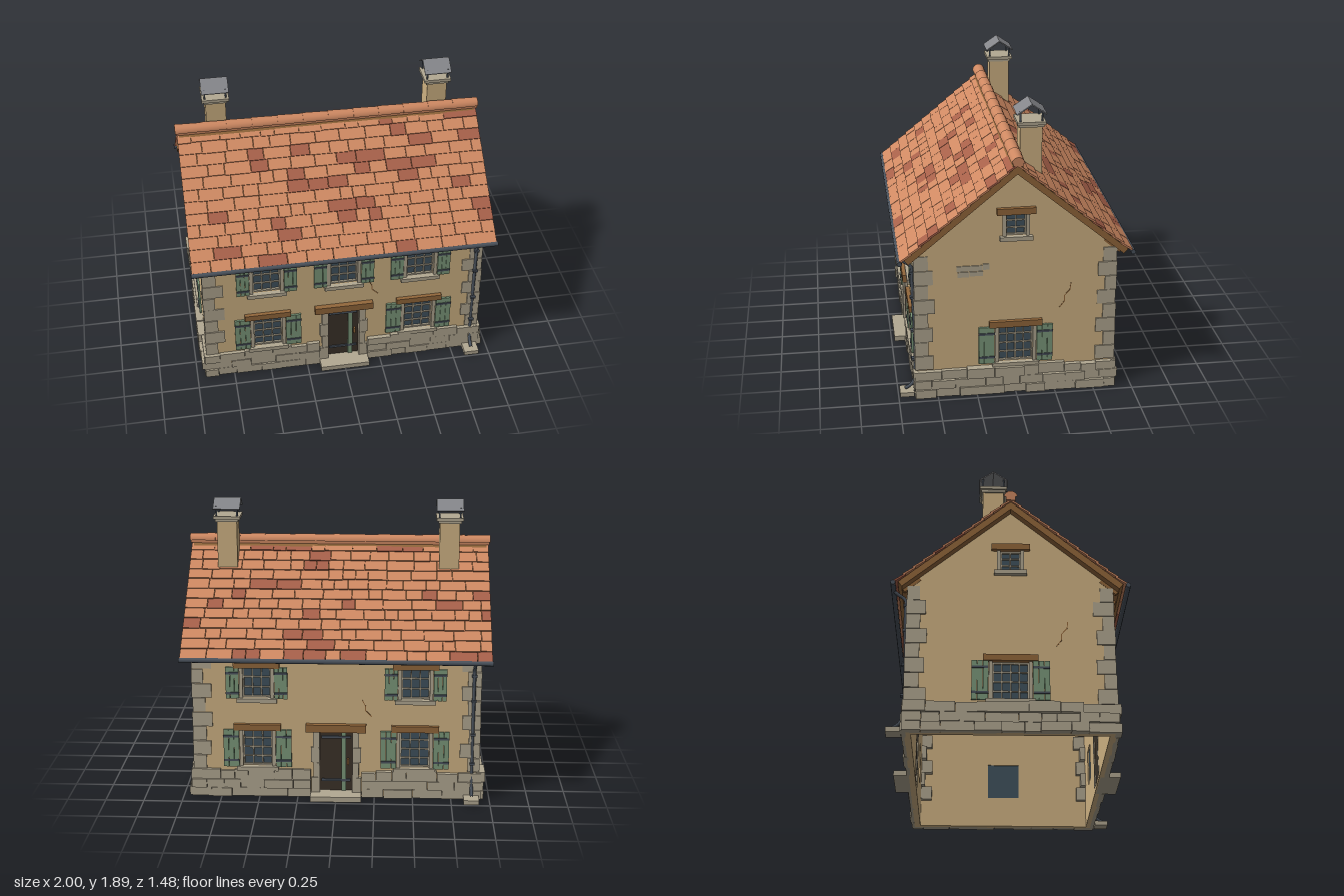
import * as THREE from 'three';
import { mergeGeometries } from 'three/addons/utils/BufferGeometryUtils.js';

const paint = (name, color) => {
  const m = new THREE.MeshStandardMaterial({ color });
  m.name = name;
  return m;
};

// Seeded random numbers for stones and tiles
let seed = 7;
const rand = (a = 0, b = 1) => {
  seed = (seed * 16807) % 2147483647;
  return a + (b - a) * (seed / 2147483647);
};

// Box from its centre, or from its lower and upper corners
const box = (w, h, d, x, y, z) => new THREE.BoxGeometry(w, h, d).translate(x, y, z);
const span = (x0, x1, y0, y1, z0, z1) =>
  box(x1 - x0, y1 - y0, z1 - z0, (x0 + x1) / 2, (y0 + y1) / 2, (z0 + z1) / 2);

const HX = 0.92, HZ = 0.63, RIDGE = 1.57, RUN = 0.72, DROP = 0.6;
const SLOPE = Math.atan2(DROP, RUN), LEN = Math.hypot(RUN, DROP);

export function createModel() {
  seed = 7;
  const plaster = paint('plaster', 0xd2b585), stone = paint('stone', 0xb3a993);
  const wood = paint('wood', 0x94683c), green = paint('shutter green', 0x7d9a7c);
  const glass = paint('glass', 0x41535f), iron = paint('dark iron', 0x4b535d);
  const doorDark = paint('dark door wood', 0x3c3329), tile = paint('clay tile', 0xd08a63);
  const tileDark = paint('dark clay tile', 0xa8614a), sheet = paint('sheet metal', 0x86878b);

  const house = new THREE.Group();
  house.name = 'house';
  const group = (parent, name) => {
    const g = new THREE.Group();
    g.name = name;
    parent.add(g);
    return g;
  };
  const add = (parent, name, mat, ...geos) => {
    const mesh = new THREE.Mesh(geos.length > 1 ? mergeGeometries(geos) : geos[0], mat);
    mesh.name = name;
    parent.add(mesh);
    return mesh;
  };

  // Wall with openings; local x runs along the wall, local z points outwards
  function wall(face, outline, openings) {
    const shape = new THREE.Shape(outline.map(p => new THREE.Vector2(...p)));
    for (const [x0, x1, y0, y1] of openings) {
      shape.holes.push(new THREE.Path([[x0, y0], [x0, y1], [x1, y1], [x1, y0]].map(p => new THREE.Vector2(...p))));
    }
    const geo = new THREE.ExtrudeGeometry(shape, { depth: 0.04, bevelEnabled: false });
    add(face, 'wall', plaster, geo.translate(0, 0, -0.04));
  }

  // Window with stone surround, glazing bars, timber lintel and optional shutters
  function windowUnit(face, { u, y, w, h, cols, rows, shutter }) {
    const g = group(face, 'window');
    g.position.set(u, y, 0);
    const r = w / 2, jamb = 0.022;
    add(g, 'glass', glass, box(w, h, 0.008, 0, h / 2, -0.026));
    const bars = [span(-r, r, 0, 0.01, -0.024, -0.008), span(-r, r, h - 0.01, h, -0.024, -0.008)];
    for (let i = 0; i <= cols; i++) bars.push(box(0.009, h, 0.012, -r + 0.004 + (w - 0.008) * i / cols, h / 2, -0.016));
    for (let i = 1; i < rows; i++) bars.push(box(w, 0.008, 0.01, 0, h * i / rows, -0.016));
    add(g, 'glazing bars', stone, ...bars);
    add(g, 'stone surround', stone,
      span(-r - jamb, -r, 0, h, -0.02, 0.012), span(r, r + jamb, 0, h, -0.02, 0.012),
      span(-r - 0.04, r + 0.04, -0.028, 0, -0.02, 0.03));
    add(g, 'lintel', wood, span(-r - 0.058, r + 0.058, h, h + 0.042, -0.02, 0.026));
    if (!shutter) return;
    const boards = [], straps = [], n = 3, bw = shutter / n;
    for (const s of [-1, 1]) {
      const x = s * (r + jamb + 0.002 + shutter / 2);
      for (let i = 0; i < n; i++) boards.push(box(bw - 0.002, h + 0.006, 0.014, x + (i - 1) * bw, h / 2, 0.011));
      for (const f of [0.17, 0.83]) straps.push(box(shutter, 0.014, 0.006, x, h * f, 0.02));
    }
    add(g, 'shutters', green, ...boards);
    add(g, 'shutter straps', iron, ...straps);
  }

  // Plank door with stone jambs, lintel and doorstep
  function door(face) {
    const g = group(face, 'door');
    add(g, 'door leaf', doorDark, span(-0.11, 0.11, 0.03, 0.46, -0.035, -0.02));
    add(g, 'door batten', green, span(0.035, 0.065, 0.035, 0.455, -0.022, -0.01));
    add(g, 'door straps', iron, ...[0.11, 0.41].map(y => box(0.19, 0.016, 0.008, 0, y, -0.012)));
    add(g, 'door handle', wood, box(0.012, 0.045, 0.016, 0.078, 0.24, -0.012));
    const jambs = [];
    for (const s of [-1, 1]) for (let i = 0; i < 4; i++) {
      const w = i % 2 ? 0.042 : 0.056;
      jambs.push(box(w, 0.102, 0.06, s * (0.106 + w / 2), 0.085 + i * 0.105, -0.012));
    }
    add(g, 'door jambs', stone, ...jambs);
    add(g, 'door lintel', wood, span(-0.195, 0.195, 0.457, 0.508, -0.02, 0.035));
    add(g, 'doorstep', stone, span(-0.165, 0.165, 0, 0.035, -0.03, 0.1));
  }

  // Rough stone plinth in three courses, leaving room for a door
  function plinth(face, half, depth, hasDoor) {
    const stones = [];
    const runs = hasDoor ? [[-half, -0.165], [0.165, half]] : [[-half, half]];
    for (const [a, b] of runs) for (let row = 0; row < 3; row++) {
      for (let x = a; x < b - 0.001;) {
        let end = x + rand(0.09, 0.2);
        if (end > b - 0.06) end = b;
        const top = row === 2 ? rand(0.172, 0.192) : row * 0.06 + 0.058;
        stones.push(span(x + 0.001, end - 0.001, row * 0.06, top, -0.01, depth * rand(0.5, 1)));
        x = end;
      }
    }
    add(face, 'stone plinth', stone, ...stones);
  }

  // Thin jagged crack in the plaster
  function crack(face, pts) {
    const parts = [];
    for (let i = 1; i < pts.length; i++) {
      const [x0, y0] = pts[i - 1], [x1, y1] = pts[i];
      parts.push(new THREE.BoxGeometry(Math.hypot(x1 - x0, y1 - y0), 0.005, 0.004)
        .rotateZ(Math.atan2(y1 - y0, x1 - x0)).translate((x0 + x1) / 2, (y0 + y1) / 2, 0.001));
    }
    add(face, 'plaster crack', wood, ...parts);
  }

  const hole = o => [o.u - o.w / 2, o.u + o.w / 2, o.y, o.y + o.h];
  const upper = u => ({ u, y: 0.68, w: 0.18, h: 0.205, cols: 3, rows: 3, shutter: 0.085 });
  const lower = u => ({ u, y: 0.21, w: 0.19, h: 0.25, cols: 3, rows: 4, shutter: 0.103 });

  // Front and back
  for (const [name, turn, ups] of [['front', 0, [-0.51, 0, 0.51]], ['back', Math.PI, [-0.51, 0.51]]]) {
    const face = group(house, name + ' facade');
    face.rotation.y = turn;
    face.position.z = Math.cos(turn) * HZ;
    const wins = [...ups.map(upper), lower(-0.51), lower(0.51)];
    wall(face, [[-HX, 0], [HX, 0], [HX, 1.01], [-HX, 1.01]], [...wins.map(hole), [-0.11, 0.11, 0.03, 0.46]]);
    wins.forEach(w => windowUnit(face, w));
    door(face);
    plinth(face, HX + 0.025, 0.03, true);
    crack(face, [[0.17, 0.67], [0.19, 0.63], [0.19, 0.6], [0.21, 0.58], [0.23, 0.56]]);

    // Gutter, downpipe and splash stone
    const gutter = new THREE.CylinderGeometry(0.016, 0.016, 1.99, 8).rotateZ(Math.PI / 2);
    add(face, 'gutter', iron, gutter.translate(0, 0.958, 0.095));
    const path = new THREE.CatmullRomCurve3([[0.955, 0.095], [0.925, 0.06], [0.89, 0.018], [0.8, 0.016],
      [0.1, 0.016], [0.06, 0.04], [0.04, 0.075]].map(([y, z]) => new THREE.Vector3(0.882, y, z)));
    add(face, 'downpipe', iron, new THREE.TubeGeometry(path, 40, 0.011, 8));
    add(face, 'pipe brackets', iron, ...[0.25, 0.45, 0.68, 0.85].map(y => box(0.032, 0.014, 0.034, 0.882, y, 0.014)));
    add(face, 'splash stone', stone, span(0.83, 0.93, 0, 0.03, 0.02, 0.11));
  }

  // Gable ends
  const gy = 1.53 - 0.59 * DROP / RUN;
  for (const s of [1, -1]) {
    const face = group(house, s > 0 ? 'left gable' : 'right gable');
    face.rotation.y = s * Math.PI / 2;
    face.position.x = s * HX;
    const wins = [{ ...lower(0), w: 0.22, cols: 4 },
      { u: 0, y: 1.08, w: 0.125, h: 0.145, cols: 2, rows: 3 }];
    wall(face, [[-0.59, 0], [0.59, 0], [0.59, gy], [0, 1.53], [-0.59, gy]], wins.map(hole));
    wins.forEach(w => windowUnit(face, w));
    plinth(face, HZ + 0.015, 0.05, false);
    crack(face, [[0.35, 0.735], [0.345, 0.69], [0.31, 0.65], [0.31, 0.61], [0.28, 0.57]]);
    if (s > 0) add(face, 'exposed stones', stone, span(-0.37, -0.21, 0.855, 0.89, 0, 0.006),
      span(-0.205, -0.165, 0.86, 0.9, 0, 0.006), span(-0.365, -0.295, 0.815, 0.85, 0, 0.006),
      span(-0.29, -0.205, 0.82, 0.85, 0, 0.006));
  }

  // Corner stones, long and short in turn
  const quoins = [];
  for (const sx of [-1, 1]) for (const sz of [-1, 1]) for (let i = 0; i < 8; i++) {
    const w = (i % 2 ? 0.125 : 0.08) + rand(-0.01, 0.01), d = (i % 2 ? 0.08 : 0.125) + rand(-0.01, 0.01);
    const out = rand(0.006, 0.013);
    quoins.push(box(w, 0.094, d, sx * (HX + out - w / 2), 0.235 + i * 0.098, sz * (HZ + out - d / 2)));
  }
  add(house, 'corner stones', stone, ...quoins);

  // Roof slopes; local z runs down the slope from the ridge
  const ROWS = 12, step = LEN / ROWS;
  for (const turn of [0, Math.PI]) {
    const side = group(house, turn ? 'back roof' : 'front roof');
    side.rotation.set(0, turn, 0);
    const slope = group(side, 'roof slope');
    slope.position.y = RIDGE;
    slope.rotation.x = SLOPE;
    add(slope, 'roof boarding', wood, span(-0.975, 0.975, -0.054, -0.014, -0.01, LEN - 0.02));
    const rafters = [];
    for (let i = 0; i < 15; i++) rafters.push(box(0.025, 0.026, 0.13, -0.91 + i * 0.13, -0.062, LEN - 0.09));
    add(slope, 'rafter tails', wood, ...rafters);
    const light = [], dark = [];
    for (let r = 0; r < ROWS; r++) {
      let isDark = false;
      for (let x = -0.99; x < 0.989;) {
        let end = x + rand(0.08, 0.19);
        if (end > 0.93) end = 0.99;
        isDark = rand() < (isDark ? 0.35 : 0.16);
        const t = new THREE.BoxGeometry(end - x - 0.003, 0.011, step + 0.012).rotateX(-0.1);
        t.translate((x + end) / 2, -0.004 + rand(-0.001, 0.001), (r + 0.5) * step + rand(-0.003, 0.003));
        (isDark ? dark : light).push(t);
        x = end;
      }
    }
    add(slope, 'roof tiles', tile, ...light);
    add(slope, 'dark roof tiles', tileDark, ...dark);
  }

  // Overlapping ridge tiles
  const ridge = [];
  for (let i = 0; i < 12; i++) {
    const c = new THREE.CylinderGeometry(0.043, 0.039, 0.17, 8, 1, false, 0, Math.PI);
    ridge.push(c.rotateZ(Math.PI / 2).translate(-0.915 + i * 0.1664, 1.578, 0));
  }
  const ridgeMat = tile;
  add(house, 'ridge tiles', ridgeMat, ...ridge);
  add(house, 'ridge bedding', tile, box(1.99, 0.03, 0.06, 0, 1.573, 0));

  // Chimneys with gabled metal hoods
  for (const x of [-0.725, 0.733]) {
    const c = group(house, 'chimney');
    c.position.set(x, 0, -0.108);
    add(c, 'chimney stack', plaster, span(-0.065, 0.065, 1.3, 1.745, -0.068, 0.068));
    add(c, 'chimney cap', stone, span(-0.075, 0.075, 1.735, 1.755, -0.078, 0.078),
      span(-0.088, 0.088, 1.752, 1.772, -0.088, 0.088));
    const posts = [];
    for (const px of [-0.068, 0.068]) for (const pz of [-0.068, 0.068]) posts.push(box(0.01, 0.07, 0.01, px, 1.803, pz));
    add(c, 'hood posts', iron, ...posts);
    add(c, 'chimney hood', sheet, ...[-1, 1].map(s => new THREE.BoxGeometry(0.176, 0.007, 0.112)
      .rotateX(s * 0.6).translate(0, 1.851, s * 0.045)));
  }
  return house;
}
